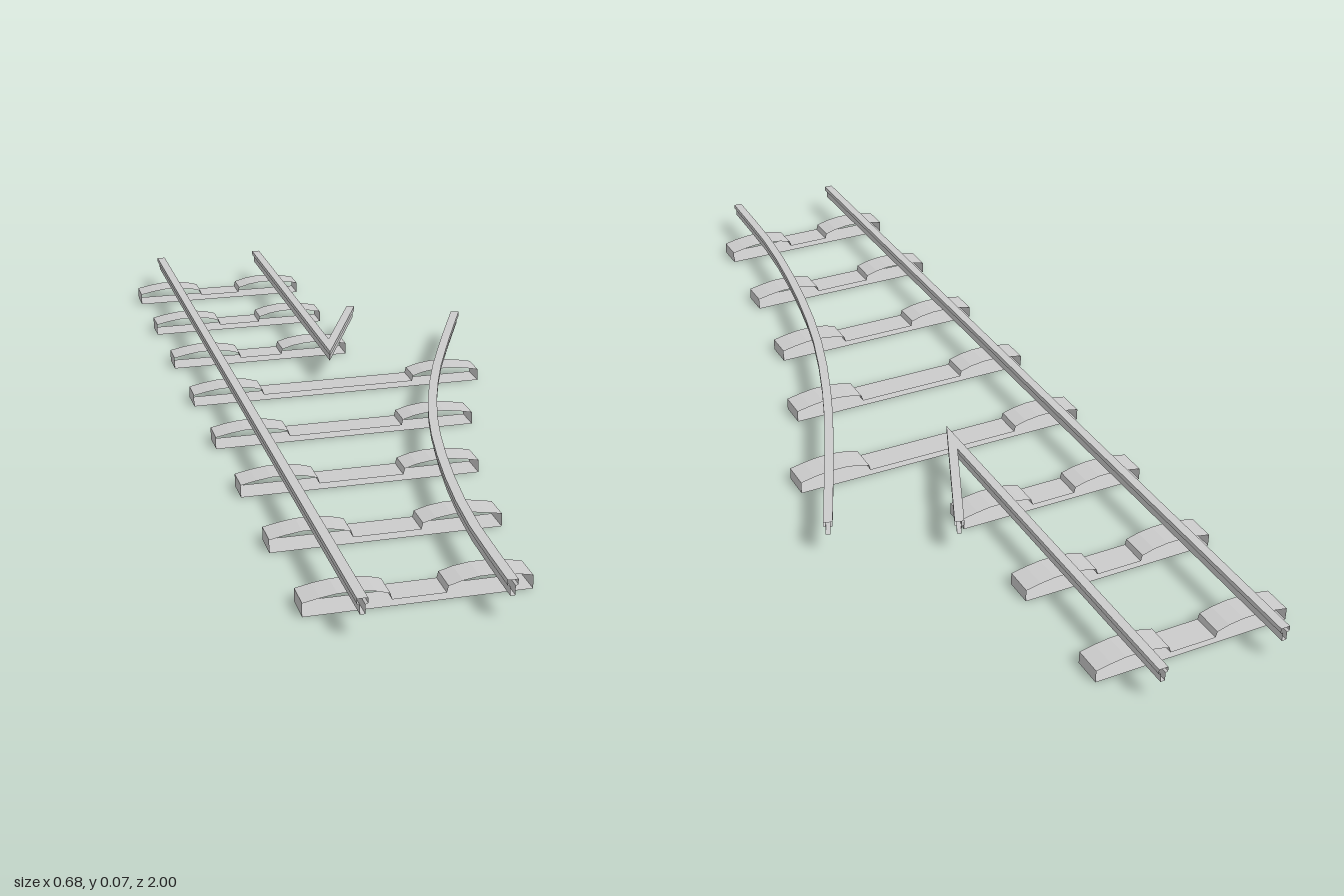
import * as THREE from 'three';

const material = new THREE.MeshStandardMaterial({ color: 0xcccccc, flatShading: true, side: THREE.DoubleSide });

// Skin between equally long closed cross-sections, open at both ends
function skin(name, rings) {
  const n = rings[0].length;
  const positions = rings.flat(2);
  const index = [];
  for (let i = 0; i < rings.length - 1; i++) {
    for (let j = 0; j < n; j++) {
      const a = i * n + j, b = i * n + (j + 1) % n;
      index.push(a, b, b + n, a, b + n, a + n);
    }
  }
  const indexed = new THREE.BufferGeometry();
  indexed.setAttribute('position', new THREE.Float32BufferAttribute(positions, 3));
  indexed.setIndex(index);
  const geometry = indexed.toNonIndexed();
  geometry.computeVertexNormals();
  const mesh = new THREE.Mesh(geometry, material);
  mesh.name = name;
  return mesh;
}

// Rail cross-section: wide head on a narrow web [offset, height]
const HEAD = 0.0092, WEB = 0.0045;
const railSection = [
  [-WEB, 0.046], [-WEB, 0.063], [-HEAD, 0.065], [-HEAD, 0.0745],
  [HEAD, 0.0745], [HEAD, 0.065], [WEB, 0.063], [WEB, 0.046],
];

// Sweep the rail along [x, z] points with mitred corners
function rail(name, path) {
  const points = path.map(([x, z]) => new THREE.Vector2(x, z));
  const last = points.length - 1;
  const normalOf = (i) => {
    const d = points[i + 1].clone().sub(points[i]).normalize();
    return new THREE.Vector2(-d.y, d.x);
  };
  const rings = points.map((p, i) => {
    const before = normalOf(Math.max(i - 1, 0));
    const after = normalOf(Math.min(i, last - 1));
    const mitre = before.clone().add(after).normalize();
    mitre.divideScalar(mitre.dot(after));
    return railSection.map(([s, y]) => [p.x + mitre.x * s, y, p.y + mitre.y * s]);
  });
  return skin(name, rings);
}

// Tie: arched block at each end, joined by a thin bar
const blockTop = [
  [0, 0.025], [0.03, 0.031], [0.06, 0.035], [0.095, 0.035],
  [0.125, 0.031], [0.15, 0.024], [0.153, 0.012],
];
function tie(x0, x1, z) {
  const profile = [
    [x0, 0],
    ...blockTop.map(([d, y]) => [x0 + d, y]),
    ...[...blockTop].reverse().map(([d, y]) => [x1 - d, y]),
    [x1, 0],
  ];
  return skin('tie', [z + 0.029, z - 0.029].map((zz) => profile.map(([x, y]) => [x, y, zz])));
}

export function createModel() {
  const model = new THREE.Group();
  model.name = 'railSwitch';

  // Ties grow longer where the tracks part
  const ties = new THREE.Group();
  ties.name = 'ties';
  [0.058, 0.09, 0.13, 0.2, 0.297, 0.058, 0.058, 0.058].forEach((end, i) => {
    ties.add(tie(-0.343, end, 0.87 - i * 0.25));
  });
  model.add(ties);

  // Straight outer rail
  model.add(rail('straightRail', [[-0.268, 1], [-0.268, -1]]));

  // Diverging rail
  const curve = new THREE.CatmullRomCurve3(
    [[-0.016, 1], [-0.007, 0.75], [0.026, 0.5], [0.076, 0.27], [0.152, 0.04], [0.24, -0.17], [0.329, -0.368]]
      .map(([x, z]) => new THREE.Vector3(x, 0, z)));
  model.add(rail('curvedRail', curve.getPoints(14).map((p) => [p.x, p.z])));

  // Crossing nose: inner straight rail and diverging rail meeting in a point
  model.add(rail('crossingRail', [[-0.017, -1], [-0.017, -0.207], [0.102, -0.473]]));

  return model;
}
